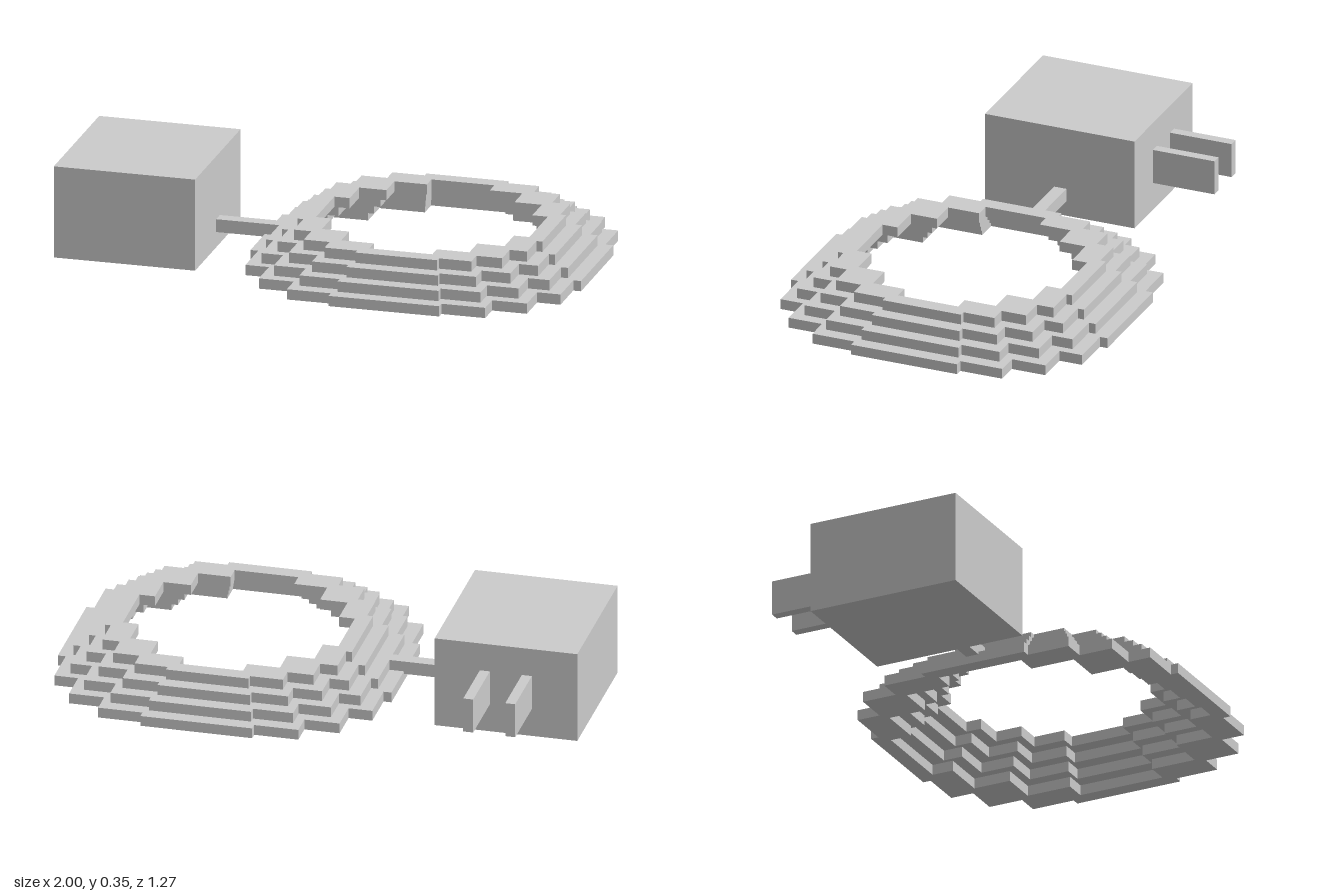
import * as THREE from 'three';

const material = new THREE.MeshStandardMaterial({ color: 0xcccccc, flatShading: true });

// Box given by its min and max on each axis
function addBox(parent, name, [x0, x1], [y0, y1], [z0, z1]) {
  const mesh = new THREE.Mesh(new THREE.BoxGeometry(x1 - x0, y1 - y0, z1 - z0), material);
  mesh.position.set((x0 + x1) / 2, (y0 + y1) / 2, (z0 + z1) / 2);
  mesh.name = name;
  parent.add(mesh);
}

// Closed staircase outline: outer corners of one quadrant, repeated by quarter turns
function steppedOutline(corners, scale) {
  const points = [];
  for (let q = 0; q < 4; q++) {
    const c = Math.round(Math.cos(q * Math.PI / 2));
    const s = Math.round(Math.sin(q * Math.PI / 2));
    corners.forEach(([x, y], i) => {
      const quadrant = [[x, y]];
      if (i < corners.length - 1) quadrant.push([corners[i + 1][0], y]);
      for (const [px, py] of quadrant) {
        points.push(new THREE.Vector2((px * c - py * s) * scale, (px * s + py * c) * scale));
      }
    });
  }
  return points;
}

// Quadrant corners for a unit outer radius and a unit hole radius
const OUTER = [[1, 0.335], [0.953, 0.6], [0.811, 0.811], [0.6, 0.953], [0.335, 1]];
const INNER = [[1, 0.295], [0.855, 0.6], [0.6, 0.855], [0.295, 1]];

export function createModel() {
  const model = new THREE.Group();
  model.name = 'chargerWithCoiledCable';

  // Plug block and its two blades at the back
  addBox(model, 'plugBlock', [-1, -0.457], [0, 0.355], [-0.3, 0.3]);
  for (const x of [-0.808, -0.648]) {
    addBox(model, 'prong', [x - 0.019, x + 0.019], [0.11, 0.245], [-0.547, -0.29]);
  }

  // Short lead from block to coil
  addBox(model, 'cableLead', [-0.46, -0.19], [0.06, 0.11], [-0.027, 0.023]);

  // Stacked cable loops, smaller towards the top
  const coil = new THREE.Group();
  coil.name = 'cableCoil';
  coil.position.set(0.365, 0, 0);
  for (let i = 0; i < 4; i++) {
    const radius = 0.635 - i * 0.055;
    const shape = new THREE.Shape(steppedOutline(OUTER, radius));
    shape.holes.push(new THREE.Path(steppedOutline(INNER, radius - 0.06)));
    const geometry = new THREE.ExtrudeGeometry(shape, { depth: 0.04, bevelEnabled: false });
    geometry.rotateX(-Math.PI / 2);
    const loop = new THREE.Mesh(geometry, material);
    loop.position.y = 0.03 + i * 0.04;
    loop.name = 'cableLoop';
    coil.add(loop);
  }
  model.add(coil);
  return model;
}
